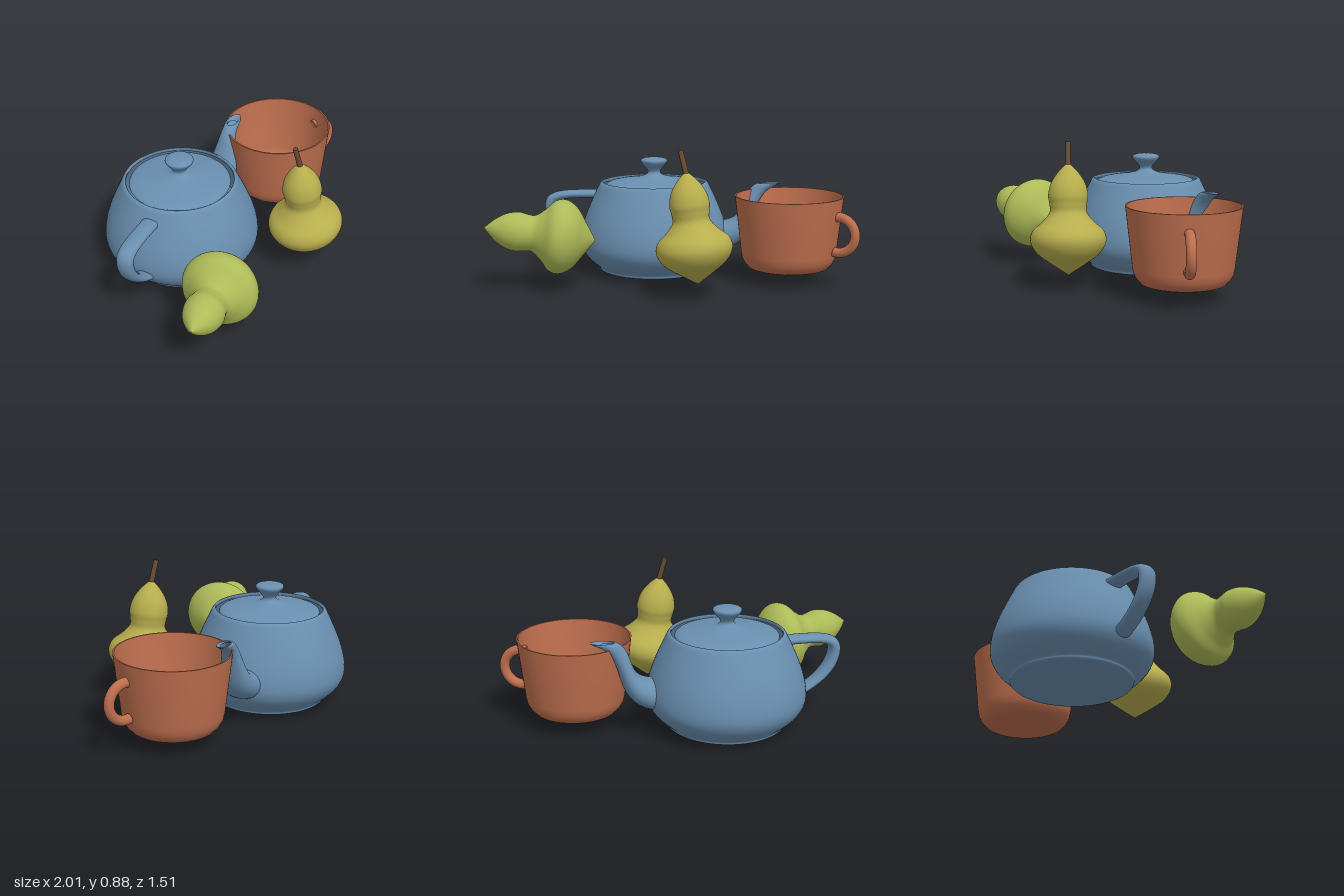
import * as THREE from 'three';
import { toCreasedNormals } from 'three/addons/utils/BufferGeometryUtils.js';

const V2 = (p) => new THREE.Vector2(p[0], p[1]);
const paint = (color, side = THREE.FrontSide) => new THREE.MeshStandardMaterial({ color, side });

function addMesh(parent, name, geometry, material) {
  const mesh = new THREE.Mesh(geometry, material);
  mesh.name = name;
  parent.add(mesh);
  return mesh;
}

const bezier = (p) => new THREE.CubicBezierCurve(...p.map(V2));

// Chain of cubic curves turned into a lathe
function latheCurves(curves, steps = 14) {
  const pts = [];
  curves.forEach((c, i) => pts.push(...bezier(c).getPoints(steps).slice(i ? 1 : 0)));
  return new THREE.LatheGeometry(pts, 80);
}

// Tube whose rounded section spans an upper and a lower curve, with a varying half width
function skin(pieces, steps = 16, sides = 32) {
  const pos = [], index = [];
  pieces.forEach(({ upper, lower, width }, k) => {
    const a = bezier(upper), b = bezier(lower);
    const w = bezier(width.map((v) => [v, 0]));
    for (let i = k ? 1 : 0; i <= steps; i++) {
      const t = i / steps, p = a.getPoint(t), q = b.getPoint(t), half = w.getPoint(t).x;
      for (let j = 0; j < sides; j++) {
        const s = (j % (sides / 2)) / (sides / 2), back = j >= sides / 2;
        const v = back ? 1 - s : s;
        const blend = v * v * (3 - 2 * v);
        const z = 3 * v * (1 - v) * half * (back ? -1 : 1);
        pos.push(p.x + (q.x - p.x) * blend, p.y + (q.y - p.y) * blend, z);
      }
    }
  });
  const rings = pos.length / 3 / sides;
  for (let i = 0; i < rings - 1; i++) {
    for (let j = 0; j < sides; j++) {
      const n = (j + 1) % sides, a = i * sides, b = a + sides;
      index.push(a + j, a + n, b + j, a + n, b + n, b + j);
    }
  }
  const g = new THREE.BufferGeometry();
  g.setAttribute('position', new THREE.Float32BufferAttribute(pos, 3));
  g.setIndex(index);
  g.computeVertexNormals();
  return g;
}

function createTeapot() {
  const pot = new THREE.Group();
  pot.name = 'teapot';
  const mat = paint(0x6a8fb0, THREE.DoubleSide);

  // Base, belly and rolled rim
  addMesh(pot, 'teapotBody', latheCurves([
    [[0, 0], [1.425, 0], [1.5, 0.075], [1.5, 0.15]],
    [[1.5, 0.15], [1.5, 0.225], [2, 0.45], [2, 0.9]],
    [[2, 0.9], [2, 1.35], [1.75, 1.875], [1.5, 2.4]],
    [[1.5, 2.4], [1.4375, 2.53], [1.3375, 2.53], [1.4, 2.4]],
  ]), mat);

  // Lid with its knob
  addMesh(pot, 'teapotLid', latheCurves([
    [[1.3, 2.4], [1.3, 2.55], [0.4, 2.55], [0.2, 2.7]],
    [[0.2, 2.7], [0, 2.85], [0.8, 3.15], [0, 3.15]],
  ]), mat);

  addMesh(pot, 'teapotHandle', skin([
    {
      upper: [[-1.5, 2.25], [-2.5, 2.25], [-3, 2.25], [-3, 1.8]],
      lower: [[-1.6, 2.025], [-2.3, 2.025], [-2.7, 2.025], [-2.7, 1.8]],
      width: [0.3, 0.3, 0.3, 0.3],
    },
    {
      upper: [[-3, 1.8], [-3, 1.35], [-2.65, 0.94], [-1.9, 0.6]],
      lower: [[-2.7, 1.8], [-2.7, 1.575], [-2.5, 1.125], [-2, 0.9]],
      width: [0.3, 0.3, 0.3, 0.3],
    },
  ]), mat);

  // Spout and its turned-in lip
  addMesh(pot, 'teapotSpout', skin([
    {
      upper: [[1.7, 1.425], [2.6, 1.425], [2.3, 2.1], [2.7, 2.4]],
      lower: [[1.7, 0.6], [3.1, 0.825], [2.4, 2.025], [3.3, 2.4]],
      width: [0.66, 0.66, 0.25, 0.25],
    },
    {
      upper: [[2.7, 2.4], [2.8, 2.475], [2.9, 2.475], [2.8, 2.4]],
      lower: [[3.3, 2.4], [3.525, 2.494], [3.45, 2.5125], [3.2, 2.4]],
      width: [0.25, 0.25, 0.15, 0.15],
    },
  ]), mat);

  pot.scale.setScalar(0.2385);
  pot.rotation.y = THREE.MathUtils.degToRad(27.5);
  pot.position.set(-0.365, 0, -0.25);
  return pot;
}

function createCup() {
  const cup = new THREE.Group();
  cup.name = 'cup';
  const mat = paint(0xbd6e4e, THREE.DoubleSide);

  // Outer wall, rim, inner wall and floor
  const profile = [
    [0, 0], [0.23, 0], [0.25, 0.008], [0.275, 0.035], [0.291, 0.065], [0.298, 0.1], [0.34, 0.46],
    [0.331, 0.46], [0.288, 0.1], [0.28, 0.065], [0.262, 0.035], [0.24, 0.02], [0, 0.015],
  ].map(V2);
  addMesh(cup, 'cupBowl', toCreasedNormals(new THREE.LatheGeometry(profile, 80), 0.6), mat);

  // Ring handle, its ends running into the wall
  const handle = new THREE.Group();
  handle.name = 'cupHandle';
  const start = -1.82, arc = 3.64, ring = 0.111, tube = 0.03;
  addMesh(handle, 'handleRing', new THREE.TorusGeometry(ring, tube, 20, 48, arc), mat).rotation.z = start;
  for (const a of [start, start + arc]) {
    const cap = addMesh(handle, 'handleEnd', new THREE.CircleGeometry(tube, 20), mat);
    cap.position.set(ring * Math.cos(a), ring * Math.sin(a), 0);
    cap.lookAt(cap.position.x - Math.sin(a), cap.position.y + Math.cos(a), 0);
  }
  handle.position.set(0.334, 0.24, 0);
  cup.add(handle);

  cup.position.set(0.525, 0.09, -0.417);
  return cup;
}

// Pear standing on its pointed base, axis along y
function createPear(name, color) {
  const pear = new THREE.Group();
  pear.name = name;
  const curve = new THREE.SplineCurve([
    [0, 0], [0.097, 0.063], [0.186, 0.128], [0.228, 0.2], [0.215, 0.265], [0.155, 0.322],
    [0.112, 0.378], [0.113, 0.43], [0.12, 0.48], [0.104, 0.55], [0.06, 0.62], [0, 0.68],
  ].map(V2));
  const pts = curve.getPoints(72);
  pts.forEach((p) => { p.x = Math.max(p.x, 0); });
  addMesh(pear, name + 'Flesh', new THREE.LatheGeometry(pts, 64), paint(color));
  return pear;
}

export function createModel() {
  const model = new THREE.Group();
  model.name = 'teaStillLife';
  model.add(createTeapot(), createCup());

  // Upright pear with a leaning stem
  const upright = createPear('uprightPear', 0xb8ae4e);
  upright.position.set(0.25, 0.085, 0.25);
  upright.rotation.z = 0.127;
  const stem = addMesh(upright, 'pearStem', new THREE.CylinderGeometry(0.015, 0.017, 0.15, 16), paint(0x6b4d33));
  stem.position.set(-0.01, 0.727, 0);
  stem.rotation.z = 0.15;
  model.add(upright);

  // Pear lying on its side
  const lying = createPear('lyingPear', 0xaebb58);
  const base = new THREE.Vector3(-0.415, 0.3, 0.355);
  const axis = new THREE.Vector3(-0.98, 0.39, 0.74).sub(base).normalize();
  lying.position.copy(base);
  lying.quaternion.setFromUnitVectors(new THREE.Vector3(0, 1, 0), axis);
  model.add(lying);

  return model;
}
